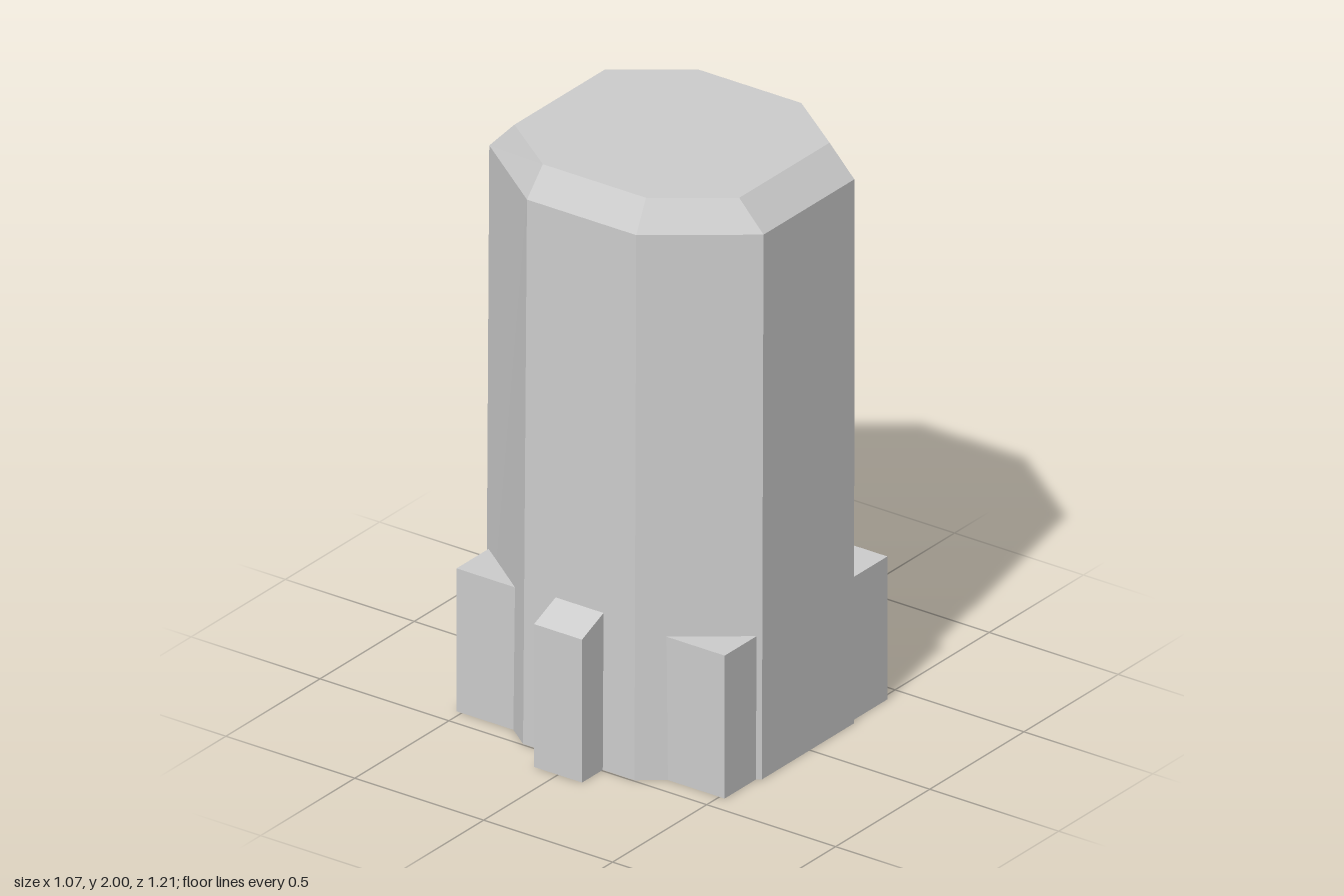
import * as THREE from 'three';

// Octagonal ring: half width, front/back z, flat-edge half width, side-face z limits
function ring(y, w, front, back, edge, sideFront, sideBack) {
  return [
    [edge, y, front], [w, y, sideFront], [w, y, sideBack], [edge, y, back],
    [-edge, y, back], [-w, y, sideBack], [-w, y, sideFront], [-edge, y, front],
  ];
}

// Flat-faced shell through a stack of rings, closed at the top and open below
function shell(rings) {
  const pos = [];
  for (let r = 0; r < rings.length - 1; r++) {
    const lo = rings[r], hi = rings[r + 1];
    for (let i = 0; i < 8; i++) {
      const j = (i + 1) % 8;
      pos.push(...lo[i], ...lo[j], ...hi[j], ...lo[i], ...hi[j], ...hi[i]);
    }
  }
  const top = rings[rings.length - 1];
  for (let i = 1; i < 7; i++) pos.push(...top[0], ...top[i], ...top[i + 1]);
  const geo = new THREE.BufferGeometry();
  geo.setAttribute('position', new THREE.Float32BufferAttribute(pos, 3));
  geo.computeVertexNormals();
  return geo;
}

export function createModel() {
  const group = new THREE.Group();
  const grey = new THREE.MeshStandardMaterial({ color: 0xcccccc, flatShading: true, side: THREE.DoubleSide });
  grey.name = 'light grey';

  const add = (name, geo) => {
    const mesh = new THREE.Mesh(geo, grey);
    mesh.name = name;
    group.add(mesh);
    return mesh;
  };

  // Slightly tapered tower with a bevelled top
  add('towerBody', shell([
    ring(0, 0.535, 0.495, -0.466, 0.216, 0.255, -0.235),
    ring(1.9, 0.532, 0.48, -0.477, 0.212, 0.242, -0.24),
    ring(2, 0.436, 0.412, -0.413, 0.2, 0.24, -0.24),
  ]));

  // Rectangular plinth whose corners stick out of the tower
  add('cornerPlinth', new THREE.BoxGeometry(1.04, 0.5, 0.864).translate(0, 0.25, 0));

  // Sloped buttress at the front and back
  const profile = new THREE.Shape([
    [0.38, 0], [0.605, 0], [0.605, 0.5], [0.48, 0.552], [0.38, 0.552],
  ].map(([x, y]) => new THREE.Vector2(x, y)));
  for (const [name, turn] of [['frontButtress', -Math.PI / 2], ['backButtress', Math.PI / 2]]) {
    const geo = new THREE.ExtrudeGeometry(profile, { depth: 0.186, bevelEnabled: false });
    add(name, geo.translate(0, 0, -0.093).rotateY(turn));
  }
  return group;
}
